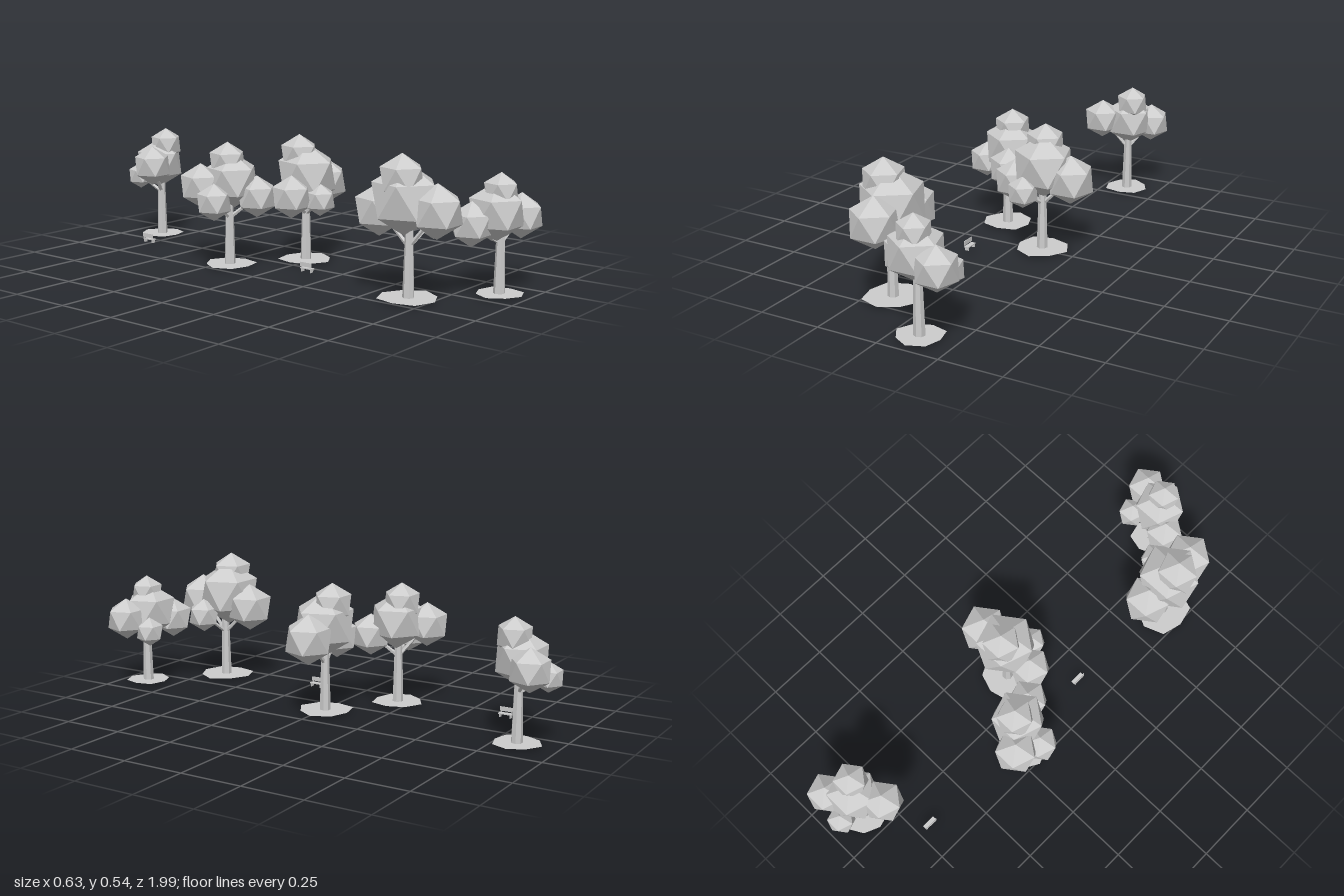
import * as THREE from 'three';

const stone = new THREE.MeshStandardMaterial({ color: 0xcccccc, flatShading: true, side: THREE.DoubleSide });
stone.name = 'pale grey';

// Twenty-sided leaf clump with one corner straight up and an upper corner facing front
const clumpGeometry = new THREE.IcosahedronGeometry(1, 0);
clumpGeometry.rotateZ(-Math.atan(2 / (1 + Math.sqrt(5))));
clumpGeometry.rotateY(-Math.PI / 2);

function add(parent, geometry, name, x = 0, y = 0, z = 0) {
  const mesh = new THREE.Mesh(geometry, stone);
  mesh.name = name;
  mesh.position.set(x, y, z);
  parent.add(mesh);
  return mesh;
}

// Tapered rod between two points
function rod(parent, name, from, to, r0, r1, sides) {
  const dir = to.clone().sub(from);
  const mesh = add(parent, new THREE.CylinderGeometry(r1, r0, dir.length(), sides), name);
  mesh.position.copy(from).add(to).multiplyScalar(0.5);
  mesh.quaternion.setFromUnitVectors(new THREE.Vector3(0, 1, 0), dir.normalize());
}

// Trunk foot, ground patch radius, then clumps as [x, y, z, radius]: main, top, sides
const trees = [
  { x: 0.105, z: 0.888, patch: 0.095, clumps: [
    [0.092, 0.313, 0.875, 0.113], [0.094, 0.39, 0.89, 0.07], [0.01, 0.272, 0.82, 0.085],
    [0.2, 0.288, 0.918, 0.087], [0.18, 0.24, 0.81, 0.061]] },
  { x: -0.157, z: 0.663, patch: 0.12, clumps: [
    [-0.16, 0.37, 0.645, 0.137], [-0.19, 0.45, 0.65, 0.09], [-0.155, 0.318, 0.53, 0.1],
    [-0.15, 0.337, 0.775, 0.102], [-0.052, 0.282, 0.7, 0.071]] },
  { x: 0.105, z: -0.016, patch: 0.113, clumps: [
    [0.11, 0.355, -0.015, 0.13], [0.1, 0.437, -0.047, 0.083], [-0.01, 0.282, 0, 0.087],
    [0.228, 0.315, -0.018, 0.1], [0.07, 0.268, 0.083, 0.066]] },
  { x: -0.157, z: -0.2, patch: 0.108, clumps: [
    [-0.14, 0.345, -0.2, 0.115], [-0.145, 0.42, -0.22, 0.08], [-0.222, 0.325, -0.295, 0.09],
    [-0.1, 0.285, -0.105, 0.085], [-0.255, 0.272, -0.195, 0.075]] },
  { x: 0.105, z: -0.84, patch: 0.098, clumps: [
    [0.105, 0.325, -0.85, 0.108], [0.125, 0.408, -0.828, 0.072], [0, 0.33, -0.79, 0.085],
    [0.182, 0.305, -0.915, 0.083], [0.08, 0.262, -0.945, 0.058]] },
];

function makeTree({ x, z, patch, clumps }) {
  const tree = new THREE.Group();
  tree.name = 'tree';
  rod(tree, 'trunk', new THREE.Vector3(x, 0, z), new THREE.Vector3(x, 0.3, z), 0.0225, 0.0145, 7);

  // Uneven eight-sided ground patch, just above the trunk foot
  const shape = new THREE.Shape();
  for (let i = 0; i < 8; i++) {
    const a = (i / 8) * Math.PI * 2, r = patch * (0.95 + 0.07 * Math.sin(i * 2.3 + x * 9 + z * 5));
    shape[i ? 'lineTo' : 'moveTo'](Math.cos(a) * r, Math.sin(a) * r);
  }
  const ground = new THREE.ShapeGeometry(shape);
  ground.rotateX(-Math.PI / 2);
  add(tree, ground, 'groundPatch', x, 0.008, z);

  // Leaf clumps, with a branch reaching to each side one
  clumps.forEach(([cx, cy, cz, r], i) => {
    add(tree, clumpGeometry, i === 1 ? 'crown' : 'leafClump', cx, cy, cz).scale.setScalar(r);
    if (i > 1) {
      rod(tree, 'branch', new THREE.Vector3(x, 0.195, z), new THREE.Vector3(cx, cy, cz), 0.009, 0.005, 5);
    }
  });
  return tree;
}

// Small bench facing +x
function makeBench(z) {
  const bench = new THREE.Group();
  bench.name = 'bench';
  add(bench, new THREE.BoxGeometry(0.02, 0.004, 0.056), 'seat', 0, 0.036, 0);
  add(bench, new THREE.BoxGeometry(0.003, 0.017, 0.056), 'backrest', -0.0085, 0.0515, 0);
  for (const side of [-1, 1]) {
    add(bench, new THREE.BoxGeometry(0.018, 0.014, 0.003), 'leg', 0, 0.028, side * 0.022);
    add(bench, new THREE.BoxGeometry(0.002, 0.01, 0.003), 'backPost', -0.0085, 0.04, side * 0.022);
  }
  bench.position.set(-0.124, 0, z);
  return bench;
}

export function createModel() {
  const model = new THREE.Group();
  model.name = 'parkTrees';
  trees.forEach((t) => model.add(makeTree(t)));
  [0.17, -0.692].forEach((z) => model.add(makeBench(z)));
  return model;
}
